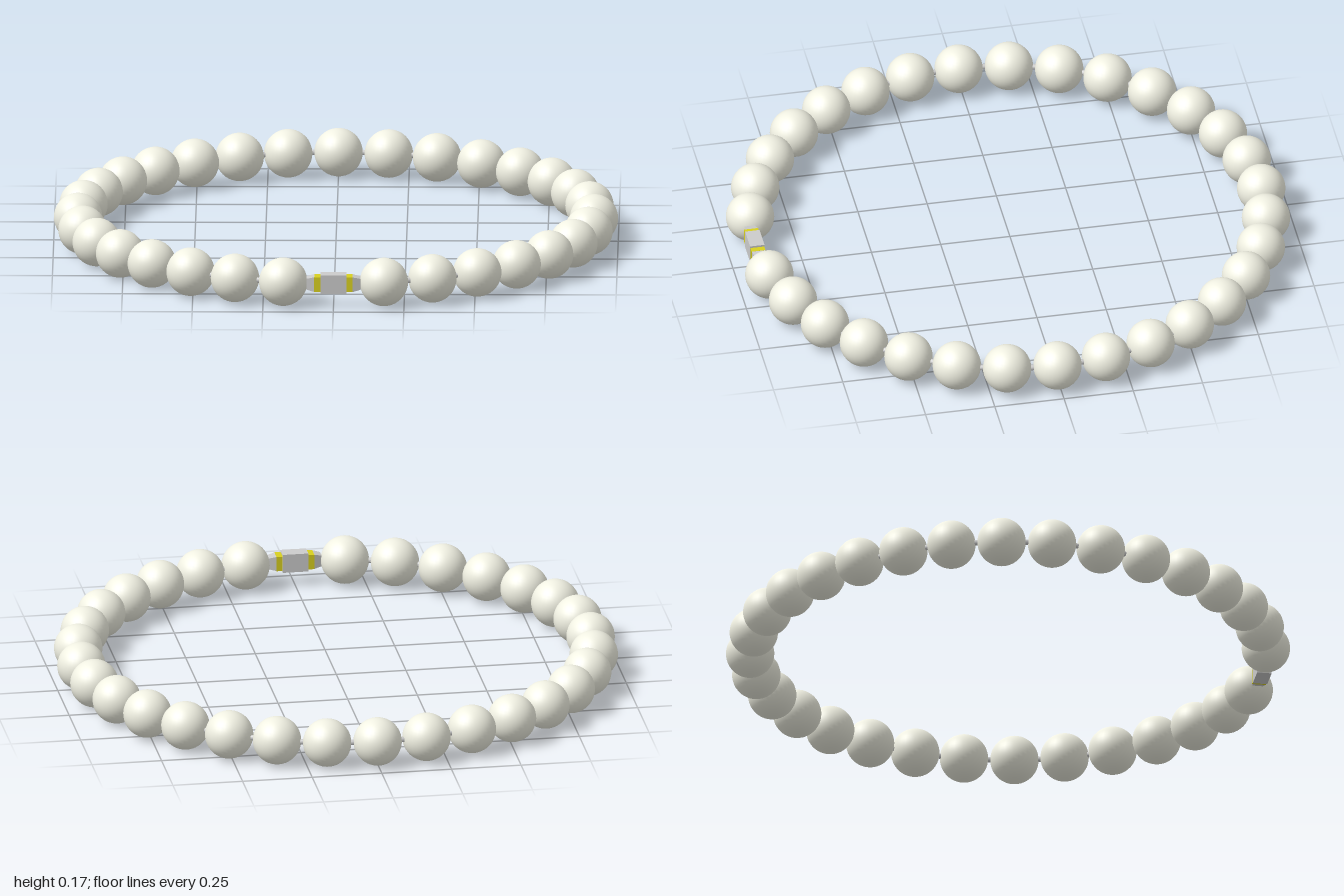
import * as THREE from 'three';

const RING = 0.914;   // radius of the bead circle
const BEAD = 0.086;   // bead radius
const SLOTS = 32;     // 31 beads and the clasp
const OFFSET_Z = 0.007;

export function createModel() {
  const model = new THREE.Group();
  const ivory = new THREE.MeshStandardMaterial({ color: 0xf0f0e2 });
  const grey = new THREE.MeshStandardMaterial({ color: 0xcccccc });
  const yellow = new THREE.MeshStandardMaterial({ color: 0xd8d020 });

  const add = (parent, name, geometry, material, x = 0, y = 0, z = 0) => {
    const mesh = new THREE.Mesh(geometry, material);
    mesh.name = name;
    mesh.position.set(x, y, z);
    parent.add(mesh);
    return mesh;
  };

  const bracelet = new THREE.Group();
  bracelet.name = 'bracelet';
  bracelet.position.set(0, BEAD, OFFSET_Z);
  model.add(bracelet);

  // Beads; slot 0 at the front is left free for the clasp
  const beadGeometry = new THREE.SphereGeometry(BEAD, 32, 24);
  for (let i = 1; i < SLOTS; i++) {
    const a = (i / SLOTS) * Math.PI * 2;
    add(bracelet, 'bead', beadGeometry, ivory, Math.sin(a) * RING, 0, Math.cos(a) * RING);
  }

  // Thread through the beads
  const cord = new THREE.TorusGeometry(RING, 0.01, 8, 128).rotateX(Math.PI / 2);
  add(bracelet, 'thread', cord, grey);

  // Clasp: box body, a yellow band and an end cap on each side
  const clasp = new THREE.Group();
  clasp.name = 'clasp';
  clasp.position.z = RING;
  bracelet.add(clasp);
  add(clasp, 'claspBody', new THREE.BoxGeometry(0.092, 0.068, 0.052), grey);
  for (const s of [-1, 1]) {
    add(clasp, 'claspBand', new THREE.BoxGeometry(0.024, 0.054, 0.05), yellow, s * 0.056);

    // End cap narrows towards the bead
    const cap = new THREE.BoxGeometry(0.028, 0.054, 0.048);
    const p = cap.attributes.position;
    for (let i = 0; i < p.count; i++) {
      if (p.getX(i) * s > 0) p.setXYZ(i, p.getX(i), p.getY(i) * 0.75, p.getZ(i) * 0.75);
    }
    cap.computeVertexNormals();
    add(clasp, 'claspEnd', cap, grey, s * 0.081);
  }
  return model;
}
